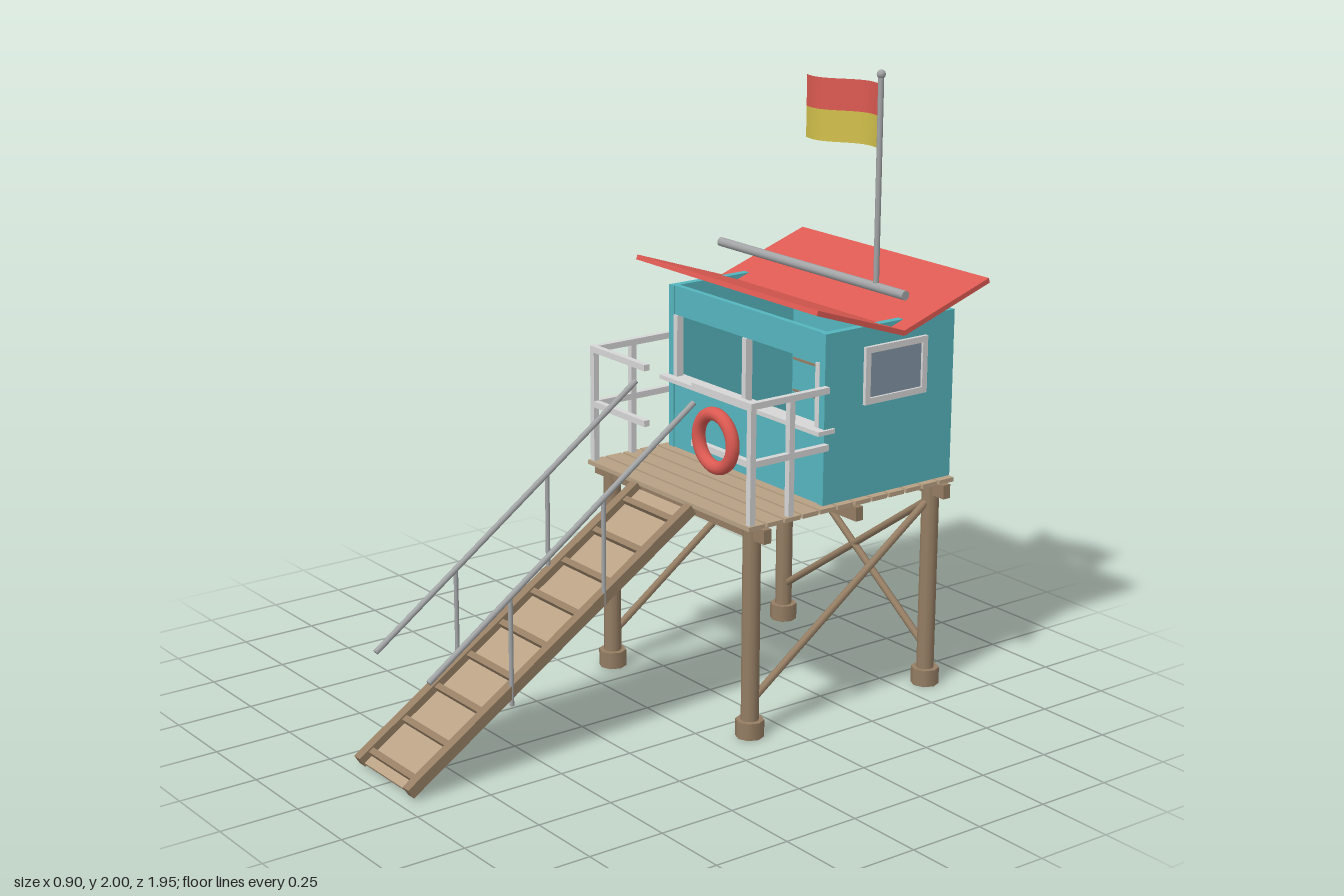
import * as THREE from 'three';

const mat = (name, color, extra = {}) => {
  const m = new THREE.MeshStandardMaterial({ color, ...extra });
  m.name = name;
  return m;
};

export function createModel() {
  const root = new THREE.Group();
  root.name = 'lifeguardTower';

  const tan = mat('deckWood', 0xb8a184);
  const wood = mat('darkWood', 0x957e64);
  const teal = mat('tealPaint', 0x55b5be);
  const red = mat('redPaint', 0xdc5a52);
  const white = mat('whitePaint', 0xd6d6d6);
  const metal = mat('greyMetal', 0xa2a4a6);
  const glass = mat('windowGlass', 0x8293a3);
  const flagRed = mat('flagRed', 0xdc5a52, { side: THREE.DoubleSide });
  const flagYellow = mat('flagYellow', 0xd2c04c, { side: THREE.DoubleSide });

  const add = (name, geometry, material, parent = root) => {
    const mesh = new THREE.Mesh(geometry, material);
    mesh.name = name;
    parent.add(mesh);
    return mesh;
  };
  const group = (name) => {
    const g = new THREE.Group();
    g.name = name;
    root.add(g);
    return g;
  };
  // box given by its low and high limits on each axis
  const box = (name, m, [x0, x1], [y0, y1], [z0, z1], parent) => {
    const mesh = add(name, new THREE.BoxGeometry(x1 - x0, y1 - y0, z1 - z0), m, parent);
    mesh.position.set((x0 + x1) / 2, (y0 + y1) / 2, (z0 + z1) / 2);
    return mesh;
  };
  // round rod between two points
  const rod = (name, m, a, b, r, parent, sides = 10) => {
    const p = new THREE.Vector3(...a), q = new THREE.Vector3(...b);
    const d = q.clone().sub(p);
    const mesh = add(name, new THREE.CylinderGeometry(r, r, d.length(), sides), m, parent);
    mesh.position.copy(p).add(q).multiplyScalar(0.5);
    mesh.quaternion.setFromUnitVectors(new THREE.Vector3(0, 1, 0), d.normalize());
    return mesh;
  };

  // Legs, feet and cross braces
  const frame = group('substructure');
  const zF = -0.125, zB = -0.845, legX = 0.36;
  for (const s of [-1, 1]) {
    for (const z of [zF, zB]) {
      rod('leg', wood, [s * legX, 0.02, z], [s * legX, 0.69, z], 0.028, frame, 10);
      rod('foot', wood, [s * legX, 0, z], [s * legX, 0.055, z], 0.045, frame, 8);
    }
    rod('sideBrace', wood, [s * legX, 0.11, zF], [s * legX, 0.63, zB], 0.012, frame, 8);
    rod('backBrace', wood, [-s * legX, 0.12, zB], [s * legX, 0.625, zB], 0.012, frame, 8);
  }

  // Deck joists and planks
  for (const z of [zF, -0.485, zB]) {
    box('joist', wood, [-0.435, 0.435], [0.643, 0.688], [z - 0.014, z + 0.014], frame);
  }
  const deck = group('deck');
  const planks = 12, pitch = 0.83 / planks;
  for (let i = 0; i < planks; i++) {
    const z = -0.07 - i * pitch;
    box('plank', tan, [-0.415, 0.415], [0.686, 0.7], [z - pitch + 0.009, z], deck);
  }

  // Cabin walls, with a wide opening at the front
  const cabin = group('cabin');
  const bottom = 0.7, top = 1.24;
  for (const s of [-1, 1]) {
    const xs = [s * 0.365, s * 0.39].sort((a, b) => a - b);
    box('sideWall', teal, xs, [bottom, top], [-0.895, -0.375], cabin);
    // Side window: frame bars around a thin pane
    const win = (n, m, y, z, t) =>
      box(n, m, [s * 0.388, s * (0.39 + t)].sort((a, b) => a - b), y, z, cabin);
    win('windowGlass', glass, [1.0, 1.17], [-0.77, -0.535], 0.004);
    win('windowFrame', white, [1.157, 1.177], [-0.777, -0.527], 0.012);
    win('windowFrame', white, [0.995, 1.015], [-0.777, -0.527], 0.012);
    win('windowFrame', white, [1.015, 1.157], [-0.777, -0.757], 0.012);
    win('windowFrame', white, [1.015, 1.157], [-0.547, -0.527], 0.012);
  }
  box('backWall', teal, [-0.365, 0.365], [bottom, 1.22], [-0.895, -0.873], cabin);
  box('frontWall', teal, [-0.365, 0.365], [bottom, 0.93], [-0.4, -0.38], cabin);
  box('frontHeader', teal, [-0.365, 0.365], [1.145, top], [-0.4, -0.38], cabin);
  for (const y of [0.81, 0.92, 1.03, 1.14]) {
    box('boardSeam', wood, [-0.36, 0.36], [y - 0.004, y + 0.004], [-0.898, -0.87], cabin);
  }
  box('counter', white, [-0.4, 0.4], [0.928, 0.942], [-0.41, -0.345], cabin);
  for (const x of [-0.355, 0, 0.355]) {
    box('openingPost', white, [x - 0.01, x + 0.01], [0.942, 1.145], [-0.4, -0.374], cabin);
  }

  // Butterfly roof and the bar above its valley
  const roof = group('roof');
  const zV = -0.635;
  const slope = Math.atan2(0.115, 0.345), slabLength = 0.364;
  for (const s of [-1, 1]) {
    const slab = add('roofSlab', new THREE.BoxGeometry(0.9, 0.016, slabLength), red, roof);
    slab.position.set(0, 1.273, zV + s * 0.1725);
    slab.rotation.x = -s * slope;
  }
  rod('roofBar', metal, [-0.455, 1.333, zV], [0.45, 1.333, zV], 0.015, roof, 12);

  // Flagpole and waving two-band flag
  const flag = group('flag');
  const poleX = 0.315;
  rod('flagpole', metal, [poleX, 1.333, zV], [poleX, 1.985, zV], 0.009, flag);
  add('poleBall', new THREE.SphereGeometry(0.014, 12, 8), metal, flag).position.set(poleX, 1.986, zV);
  const band = (name, m, y0) => {
    const g = new THREE.PlaneGeometry(0.335, 0.098, 16, 1);
    const p = g.attributes.position;
    for (let i = 0; i < p.count; i++) {
      const t = 0.5 - p.getX(i) / 0.335;
      p.setY(i, p.getY(i) - 0.016 * t);
      p.setZ(i, -0.022 * Math.sin(t * Math.PI * 2));
    }
    g.computeVertexNormals();
    add(name, g, m, flag).position.set(0.138, y0, zV);
  };
  band('flagTopBand', flagRed, 1.908);
  band('flagBottomBand', flagYellow, 1.81);

  // Balcony railing
  const railing = group('railing');
  const h = 0.01, rx = 0.4, rz = -0.087;
  for (const s of [-1, 1]) {
    for (const z of [rz, -0.235]) {
      box('railPost', white, [s * rx - h, s * rx + h], [0.695, 1.07], [z - h, z + h], railing);
    }
    for (const y of [1.07, 0.89]) {
      box('sideRail', white, [s * rx - h, s * rx + h], [y - h, y + h], [-0.378, rz + h], railing);
      const xs = [s * 0.12, s * (rx + h)].sort((a, b) => a - b);
      box('frontRail', white, xs, [y - h, y + h], [rz - h, rz + h], railing);
    }
  }

  // Lifebuoy hung on the front rail
  const buoy = add('lifebuoy', new THREE.TorusGeometry(0.083, 0.021, 12, 32), red);
  buoy.position.set(0.265, 0.935, -0.058);

  // Ramp: local z runs down the slope, local y is square to its surface
  const ramp = group('ramp');
  const low = new THREE.Vector3(0, 0.023, 0.962), high = new THREE.Vector3(0, 0.688, -0.062);
  const len = low.distanceTo(high);
  ramp.position.copy(low).add(high).multiplyScalar(0.5);
  ramp.lookAt(low);
  box('rampBoard', tan, [-0.14, 0.14], [-0.018, -0.006], [-len / 2 + 0.005, len / 2 - 0.005], ramp);
  for (const s of [-1, 1]) {
    box('stringer', wood, [s * 0.138 - 0.016, s * 0.138 + 0.016], [-0.0175, 0.0175], [-len / 2, len / 2], ramp);
  }
  for (let i = 0; i < 9; i++) {
    const z = len / 2 - 0.045 - i * 0.139;
    box('cleat', wood, [-0.125, 0.125], [-0.008, 0.012], [z - 0.01, z + 0.01], ramp);
  }

  // Ramp handrails
  const handrails = group('handrails');
  for (const s of [-1, 1]) {
    const x = s * 0.148;
    rod('handrail', metal, [x, 0.35, 0.89], [x, 1.025, -0.065], 0.009, handrails);
    rod('handrailPost', metal, [x, 0.21, 0.605], [x, 0.55, 0.605], 0.007, handrails);
    rod('handrailPost', metal, [x, 0.45, 0.27], [x, 0.787, 0.27], 0.007, handrails);
  }

  return root;
}
